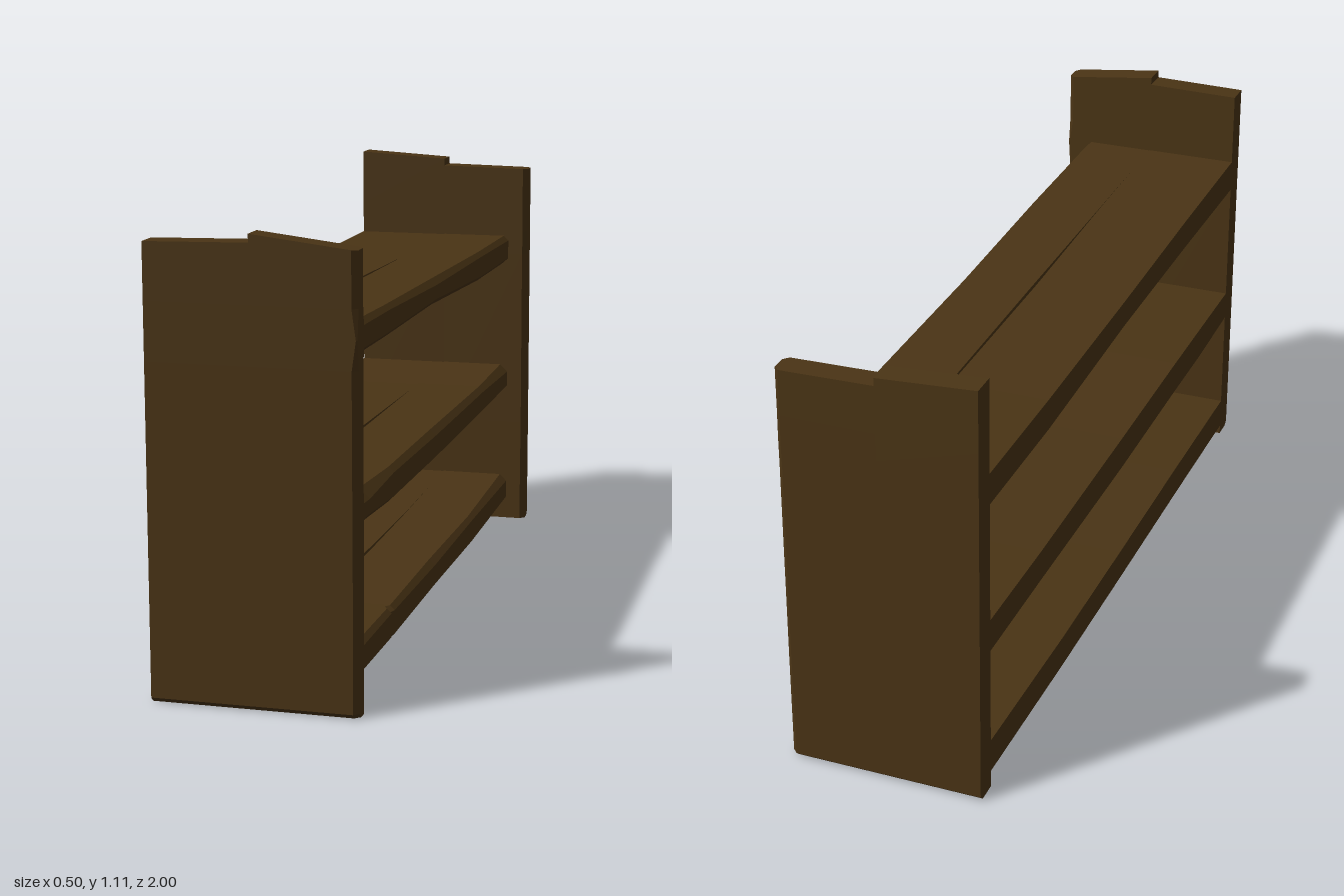
import * as THREE from 'three';

const wood = new THREE.MeshStandardMaterial({ color: 0x4a3415, flatShading: true, roughness: 0.9 });

// Skins a row of convex sections (counter-clockwise about the loft direction) and caps both ends.
function loft(name, sections) {
  const pos = [];
  const tri = (a, b, c) => pos.push(...a, ...b, ...c);
  const n = sections[0].length;
  for (let i = 0; i < sections.length - 1; i++) {
    const s = sections[i], t = sections[i + 1];
    for (let j = 0; j < n; j++) {
      const k = (j + 1) % n;
      tri(s[j], s[k], t[k]);
      tri(s[j], t[k], t[j]);
    }
  }
  const first = sections[0], last = sections[sections.length - 1];
  for (let j = 1; j < n - 1; j++) {
    tri(first[0], first[j + 1], first[j]);
    tri(last[0], last[j], last[j + 1]);
  }
  const geo = new THREE.BufferGeometry();
  geo.setAttribute('position', new THREE.Float32BufferAttribute(pos, 3));
  geo.computeVertexNormals();
  const mesh = new THREE.Mesh(geo, wood);
  mesh.name = name;
  return mesh;
}

// A shelf of two planks with a thin seam. Stations: [z, bottom, top, edge chamfer, front edge x]
function shelf(name, stations) {
  const group = new THREE.Group();
  group.name = name;
  const seam = (z) => 0.004 * Math.max(0, 1 - Math.abs(z) / 0.85);
  group.add(loft('frontPlank', stations.map(([z, b, t, c, x = 0.195]) => {
    const g = seam(z);
    return [[g, b, z], [x - c, b, z], [x, b + c, z], [x, t - c, z], [x - c, t, z], [g, t, z]];
  })));
  group.add(loft('backPlank', stations.map(([z, b, t]) => {
    const g = -seam(z), lift = 0.003 * Math.sin(z * 3);
    return [[-0.25, b + lift, z], [g, b + lift, z], [g, t + lift, z], [-0.25, t + lift, z]];
  })));
  return group;
}

// An upright end panel made of a back and a front half with tops at different heights.
// side is +1 or -1 along z; tops = [back outer, back inner, front inner, front outer]
function endPanel(name, side, tops) {
  const group = new THREE.Group();
  group.name = name;
  const lean = (y) => side > 0 ? 0.01 * y / 1.1 : 0.015 * y / 1.1;
  // Rows: [height or null for the sloping top, outer inset, front chamfer]
  const rows = [[0, 0.013, 0.013], [0.012, 0, 0.013], [0.3, 0, 0.012], [0.81, 0, 0.013],
    [0.88, 0, side > 0 ? 0.003 : 0.012], [0.95, 0, 0.013], [null, 0, 0.013]];
  const half = (label, x0, x1, y0, y1, chamfered) => loft(label, rows.map(([h, inset, c]) => {
    const zc = (y) => side > 0 ? 0.9575 + lean(y) : -0.9675 + lean(y);
    const lo = -0.0325 + (side < 0 ? inset : 0), hi = 0.0325 - (side > 0 ? inset : 0);
    const outline = chamfered
      ? [[x0, hi], [x1 - c, hi], [x1, hi - c], [x1, lo + c], [x1 - c, lo], [x0, lo]]
      : [[x0, hi], [x1, hi], [x1, lo], [x0, lo]];
    return outline.map(([x, z]) => {
      const y = h ?? y0 + (y1 - y0) * (x - x0) / (x1 - x0);
      return [x, y, zc(y) + z];
    });
  }));
  group.add(half('backHalf', -0.25, 0, tops[0], tops[1], false));
  group.add(half('frontHalf', 0, 0.25, tops[2], tops[3], true));
  return group;
}

export function createModel() {
  const rack = new THREE.Group();
  rack.name = 'shelfRack';

  // End panels
  rack.add(endPanel('frontEndPanel', 1, [1.085, 1.09, 1.11, 1.08]));
  rack.add(endPanel('backEndPanel', -1, [1.105, 1.09, 1.07, 1.065]));

  // Warped shelves with worn front edges
  rack.add(shelf('topShelf', [
    [-0.95, 0.785, 0.865, 0.014], [-0.55, 0.786, 0.866, 0.012], [0, 0.802, 0.871, 0.016],
    [0.5, 0.802, 0.88, 0.012], [0.95, 0.802, 0.888, 0.016]]));
  rack.add(shelf('middleShelf', [
    [-0.95, 0.39, 0.475, 0.022], [-0.6, 0.39, 0.471, 0.014], [0, 0.38, 0.469, 0.016],
    [0.45, 0.381, 0.469, 0.014], [0.68, 0.381, 0.469, 0.026], [0.95, 0.392, 0.47, 0.016]]));
  rack.add(shelf('bottomShelf', [
    [-0.95, 0.046, 0.135, 0.02], [-0.45, 0.037, 0.121, 0.012], [0, 0.031, 0.115, 0.016],
    [0.44, 0.027, 0.112, 0.012], [0.455, 0.027, 0.112, 0.014, 0.187], [0.47, 0.027, 0.112, 0.012],
    [0.95, 0.025, 0.11, 0.014]]));
  return rack;
}
